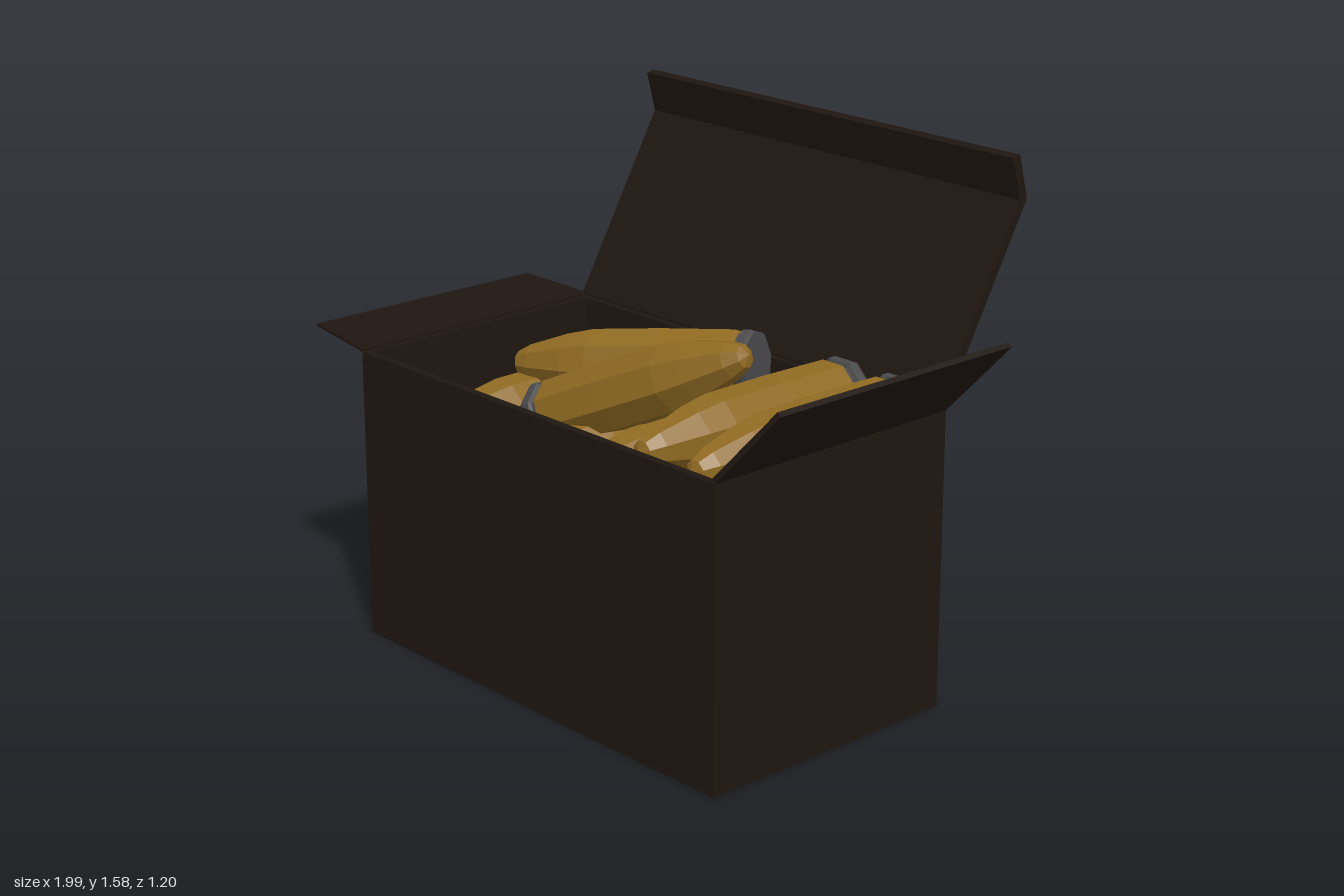
import * as THREE from 'three';

export function createModel() {
  const model = new THREE.Group();
  const paint = (color) => new THREE.MeshStandardMaterial({ color, flatShading: true });
  const card = paint(0x1f1610), brass = paint(0x8f6a22), steel = paint(0x4a4a4c);
  const V = (x, y, z) => new THREE.Vector3(x, y, z);

  const add = (parent, geometry, material, name) => {
    const mesh = new THREE.Mesh(geometry, material);
    mesh.name = name;
    parent.add(mesh);
    return mesh;
  };

  // Open carton: floor and four thin walls
  const x0 = -0.73, x1 = 0.8, z0 = -0.28, z1 = 0.6, top = 0.9, t = 0.025;
  const slab = (name, ax, bx, ay, by, az, bz) =>
    add(model, new THREE.BoxGeometry(bx - ax, by - ay, bz - az), card, name)
      .position.set((ax + bx) / 2, (ay + by) / 2, (az + bz) / 2);
  slab('floor', x0, x1, 0, t, z0, z1);
  slab('frontWall', x0, x1, t, top, z1 - t, z1);
  slab('backWall', x0, x1, t, top, z0, z0 + t);
  slab('rightWall', x0, x0 + t, t, top, z0 + t, z1 - t);
  slab('leftWall', x1 - t, x1, t, top, z0 + t, z1 - t);

  // Flap: trapezoid from hinge edge a-b, reaching out by vector 'reach';
  // the far edge shifts by da and db along the hinge, thickness goes to the inside
  const flap = (name, a, b, reach, da, db, thick) => {
    const u = b.clone().sub(a), width = u.length(), length = reach.length();
    u.normalize();
    const v = reach.clone().normalize();
    const w = u.clone().cross(v);
    const shape = new THREE.Shape([
      new THREE.Vector2(0, 0), new THREE.Vector2(width, 0),
      new THREE.Vector2(width + db, length), new THREE.Vector2(da, length),
    ]);
    const geometry = new THREE.ExtrudeGeometry(shape, { depth: thick, bevelEnabled: false });
    geometry.applyMatrix4(new THREE.Matrix4().makeBasis(u, v, w).setPosition(a));
    add(model, geometry, card, name);
  };
  flap('lid', V(x0, top, z0), V(x1 - 0.005, top, z0), V(0, 0.55, -0.32), -0.005, -0.005, 0.025);
  flap('lidLip', V(-0.735, 1.45, -0.6), V(0.79, 1.45, -0.6), V(0, 0.13, 0.03), -0.005, -0.005, 0.028);
  flap('rightFlap', V(x0, top, z1), V(x0, top, z0), V(-0.27, 0.012, 0), 0.03, -0.025, 0.008);
  flap('leftFlap', V(x1, top, z0), V(x1, top, z1), V(0.19, 0.22, 0), -0.05, -0.05, 0.016);

  // Cartridge: eight-sided brass body with a steel rim
  const lathe = (pts) =>
    new THREE.LatheGeometry(pts.map(([r, y]) => new THREE.Vector2(r, y)), 8).rotateY(Math.PI / 8);
  const rim = lathe([[0, 0], [0.1, 0], [0.105, 0.012], [0.105, 0.035], [0.092, 0.04], [0.092, 0.055]]);
  const body = lathe([[0.092, 0.05], [0.105, 0.06], [0.108, 0.3], [0.105, 0.52], [0.09, 0.61],
    [0.056, 0.74], [0.035, 0.785], [0, 0.8]]);
  const cartridge = (name, base, tip) => {
    const group = new THREE.Group();
    group.name = name;
    add(group, rim, steel, 'rim');
    add(group, body, brass, 'body');
    group.position.copy(base);
    group.quaternion.setFromUnitVectors(V(0, 1, 0), tip.clone().sub(base).normalize());
    model.add(group);
  };

  // Stacked layers, alternate ones offset by half a step
  const even = [-0.58, -0.37, -0.16, 0.45, 0.66];
  const odd = [-0.47, -0.26, -0.05, 0.135, 0.34, 0.55];
  [[0.45, 0.66], odd, even, odd, even].forEach((row, i) => {
    const y = 0.88 - i * 0.18;
    row.forEach((x) => cartridge('stackedCartridge', V(x, y, -0.245), V(x, y, 0.555)));
  });

  // Two loose ones lying on the stack
  cartridge('looseCartridge', V(0.19, 0.92, -0.14), V(-0.54, 0.82, 0.17));
  cartridge('looseCartridge', V(-0.25, 0.75, 0.3), V(0.47, 1.08, 0.16));

  return model;
}
